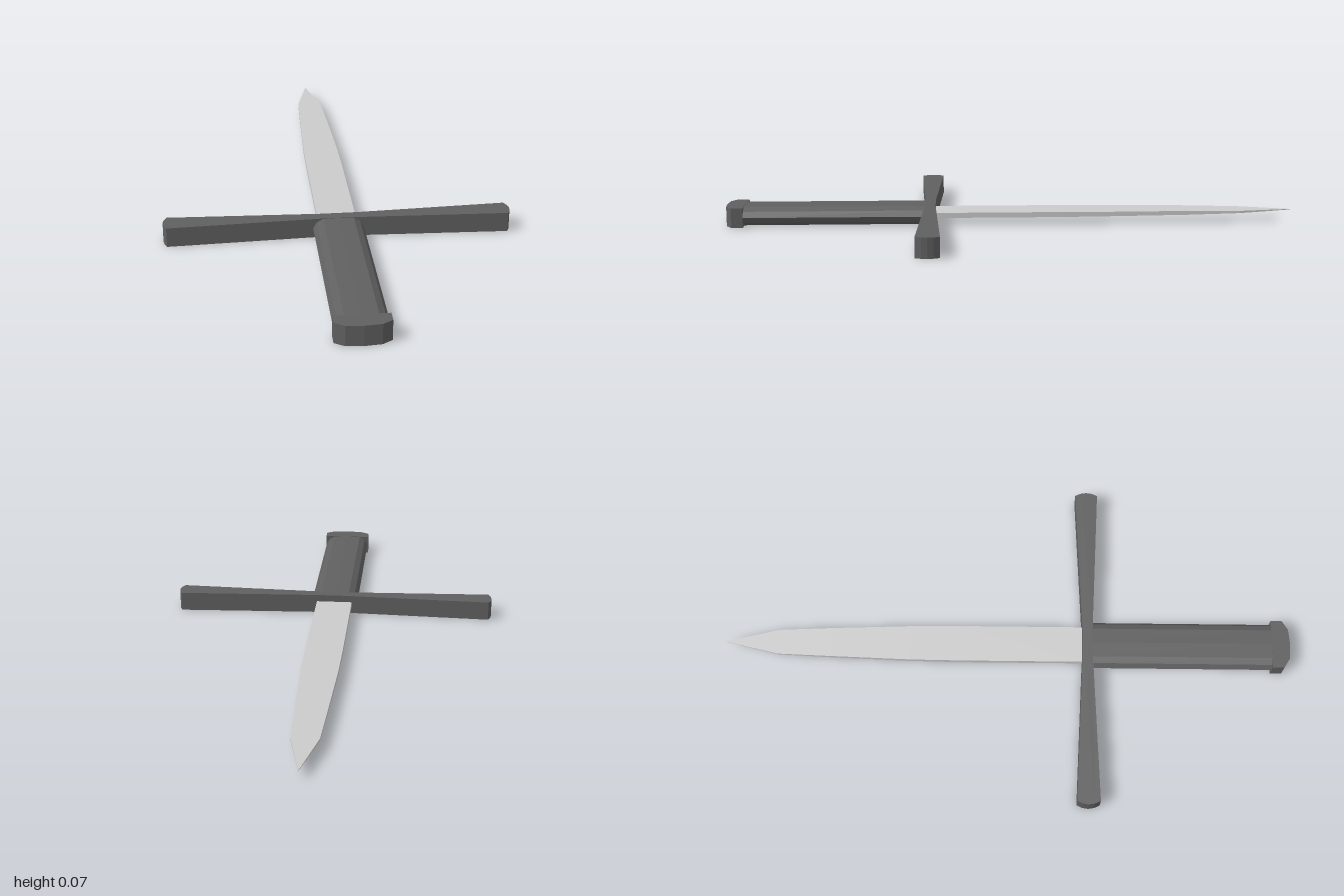
import * as THREE from 'three';

const DARK = 0x606060;
const HEIGHT = 0.068;
const MID = HEIGHT / 2;

const material = (color) => new THREE.MeshStandardMaterial({ color, flatShading: true });

function part(name, geometry, color) {
  const mesh = new THREE.Mesh(geometry, material(color));
  mesh.name = name;
  return mesh;
}

// Upright slab of full height from an outline of [x, z] points
function slab(outline) {
  const shape = new THREE.Shape(outline.map(([x, z]) => new THREE.Vector2(x, -z)));
  const geometry = new THREE.ExtrudeGeometry(shape, { depth: HEIGHT, bevelEnabled: false });
  return geometry.rotateX(-Math.PI / 2);
}

// Completes a half outline (x >= 0) with its mirror image
const mirrored = (half) => [...half, ...half.slice().reverse().map(([x, z]) => [-x, z])];

// Blade lofted through rectangles: [z, half width, half thickness]
function bladeGeometry() {
  const stations = [
    [0.28, 0.065, 0.009], [-0.17, 0.065, 0.009], [-0.34, 0.063, 0.008],
    [-0.62, 0.053, 0.007], [-0.81, 0.045, 0.004], [-1, 0.0005, 0.001],
  ];
  const positions = [];
  const index = [];
  for (const [z, w, t] of stations) {
    positions.push(w, MID + t, z, -w, MID + t, z, -w, MID - t, z, w, MID - t, z);
  }
  for (let s = 0; s < stations.length - 1; s++) {
    for (let k = 0; k < 4; k++) {
      const a = s * 4 + k;
      const b = s * 4 + ((k + 1) % 4);
      index.push(a, a + 4, b, b, a + 4, b + 4);
    }
  }
  const end = (stations.length - 1) * 4;
  index.push(0, 1, 2, 0, 2, 3, end, end + 2, end + 1, end, end + 3, end + 2);
  const geometry = new THREE.BufferGeometry();
  geometry.setAttribute('position', new THREE.Float32BufferAttribute(positions, 3));
  geometry.setIndex(index);
  const flat = geometry.toNonIndexed();
  flat.computeVertexNormals();
  return flat;
}

// Grip with a faceted, lens-like section
function gripGeometry() {
  const upper = [[0.085, 0], [0.073, 0.02], [0.052, 0.032], [0, 0.0335]];
  const top = [...upper, ...upper.slice(0, 3).reverse().map(([x, y]) => [-x, y])];
  const bottom = top.slice(1, -1).reverse().map(([x, y]) => [x, -y]);
  const shape = new THREE.Shape([...top, ...bottom].map(([x, y]) => new THREE.Vector2(x, y)));
  const geometry = new THREE.ExtrudeGeometry(shape, { depth: 0.65, bevelEnabled: false });
  return geometry.translate(0, MID, 0.29);
}

export function createModel() {
  const group = new THREE.Group();
  group.name = 'dagger';

  group.add(part('blade', bladeGeometry(), 0xcccccc));
  group.add(part('grip', gripGeometry(), DARK));

  // Crossguard: narrow waist, flared arms, rounded ends
  const guard = mirrored([
    [0.06, 0.304], [0.572, 0.325], [0.581, 0.305], [0.584, 0.285],
    [0.581, 0.265], [0.572, 0.245], [0.06, 0.267],
  ]);
  group.add(part('crossguard', slab(guard), DARK));

  // Pommel: block with a rounded end
  const pommel = mirrored([[0.055, 0.995], [0.087, 0.975], [0.087, 0.935]]);
  pommel.push([0, 1]);
  group.add(part('pommel', slab(pommel), DARK));

  return group;
}
